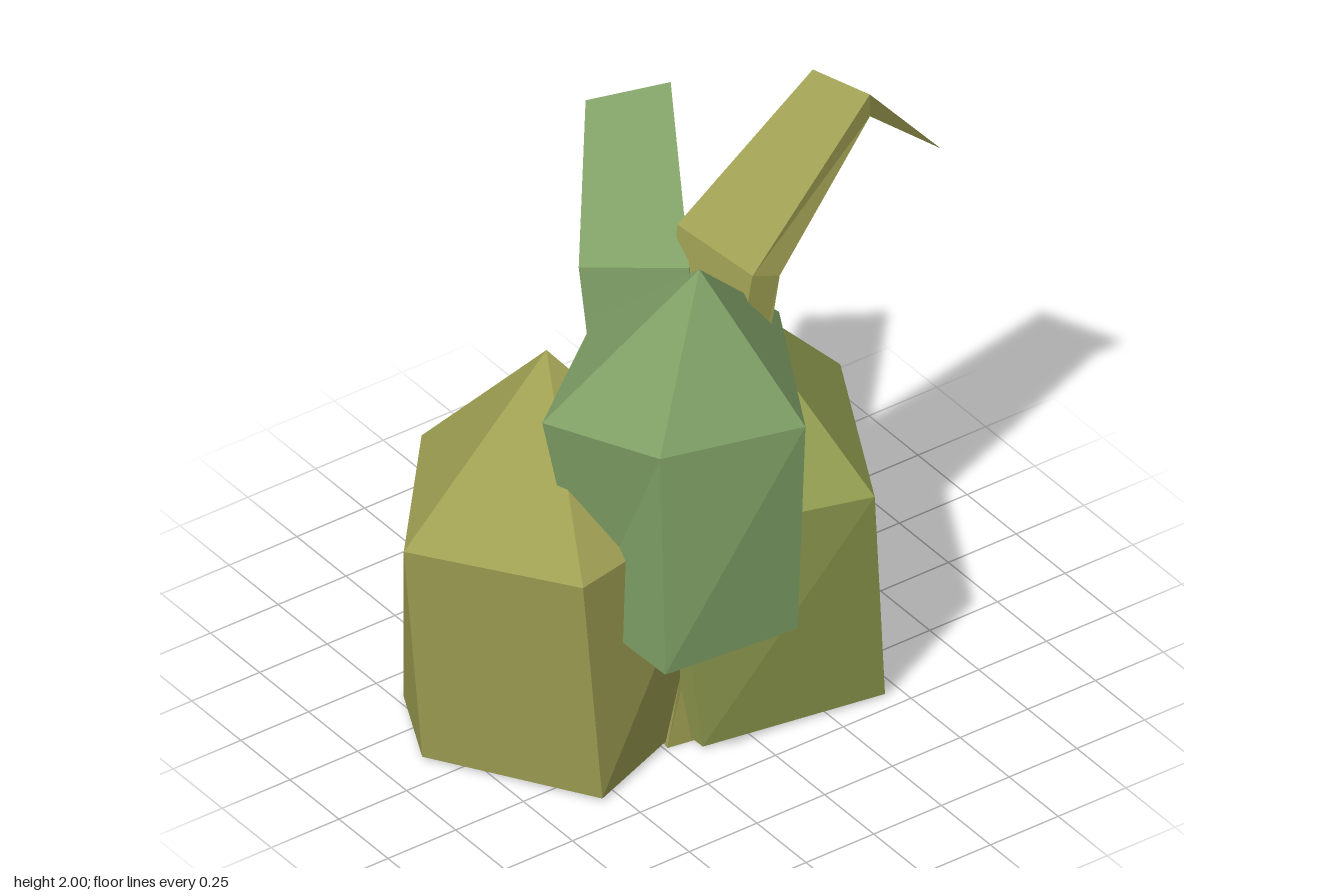
import * as THREE from 'three';

const material = (color) => new THREE.MeshStandardMaterial({ color, flatShading: true, side: THREE.DoubleSide });

// Joins matching rings of corners from the base up and closes them on a tip; the base stays open.
function spire(name, mat, rings, tip) {
  const n = rings[0].length;
  const last = (rings.length - 1) * n;
  const points = [...rings.flat(), tip];
  const index = [];
  for (let i = 0; i < n; i++) {
    const j = (i + 1) % n;
    for (let r = 0; r < last; r += n) {
      index.push(r + i, r + j, r + n + j, r + i, r + n + j, r + n + i);
    }
    index.push(last + i, last + j, points.length - 1);
  }
  const indexed = new THREE.BufferGeometry();
  indexed.setAttribute('position', new THREE.Float32BufferAttribute(points.flat(), 3));
  indexed.setIndex(index);
  const geometry = indexed.toNonIndexed();
  geometry.computeVertexNormals();
  const mesh = new THREE.Mesh(geometry, mat);
  mesh.name = name;
  return mesh;
}

// Flat ring of [x, z] corners at one height.
const level = (y, corners) => corners.map(([x, z]) => [x, y, z]);

export function createModel() {
  const group = new THREE.Group();
  group.name = 'succulentCluster';
  const olive = material(0xa0a054);
  const moss = material(0x919c50);
  const green = material(0x7fa066);

  // Five-sided pods: slightly twisted walls under a pointed cap
  group.add(spire('rightPod', olive, [
    level(0.012, [[-0.87, -0.1], [-0.56, 0.39], [-0.07, 0.2], [-0.2, -0.3], [-0.73, -0.39]]),
    [[-0.96, 0.82, -0.07], [-0.66, 0.85, 0.43], [-0.07, 0.87, 0.33], [-0.11, 0.87, -0.29], [-0.59, 0.85, -0.49]],
  ], [-0.44, 1.35, -0.06]));

  group.add(spire('leftPod', moss, [
    level(0.012, [[0.44, 0.45], [0.63, 0.07], [0.23, -0.38], [-0.17, -0.18], [-0.16, 0.35]]),
    [[0.33, 0.84, 0.55], [0.63, 0.86, -0.04], [0.31, 0.86, -0.39], [-0.3, 0.87, -0.14], [-0.29, 0.85, 0.38]],
  ], [0.16, 1.36, 0.02]));

  group.add(spire('frontPod', green, [
    level(0.555, [[-0.48, 0.6], [-0.02, 0.64], [0.12, 0.25], [-0.2, -0.04], [-0.49, 0.22]]),
    [[-0.47, 1.32, 0.56], [-0.02, 1.32, 0.68], [0.23, 1.36, 0.2], [-0.22, 1.34, -0.12], [-0.63, 1.3, 0.18]],
  ], [-0.18, 1.78, 0.36]));

  // Bent three-sided leaves: base, elbow and bend sections, then a drooping tip
  group.add(spire('sideLeaf', olive, [
    level(0, [[-0.12, 0.3], [-0.2, 0.06], [-0.24, 0.28]]),
    [[0.16, 1.58, 0.3], [0.05, 1.6, -0.07], [0.06, 1.62, 0.3]],
    [[0.58, 1.92, 0.18], [0.55, 1.96, -0.07], [0.58, 2, 0.18]],
  ], [0.95, 1.56, 0.03]));

  group.add(spire('backLeaf', green, [
    level(0, [[-0.02, 0.07], [-0.17, 0], [-0.05, 0.15]]),
    [[0.1, 1.46, -0.06], [-0.22, 1.48, -0.2], [0.03, 1.5, 0.02]],
    [[0.24, 1.77, -0.41], [0.03, 1.81, -0.51], [0.25, 1.86, -0.38]],
  ], [0.33, 1.45, -0.68]));

  return group;
}
